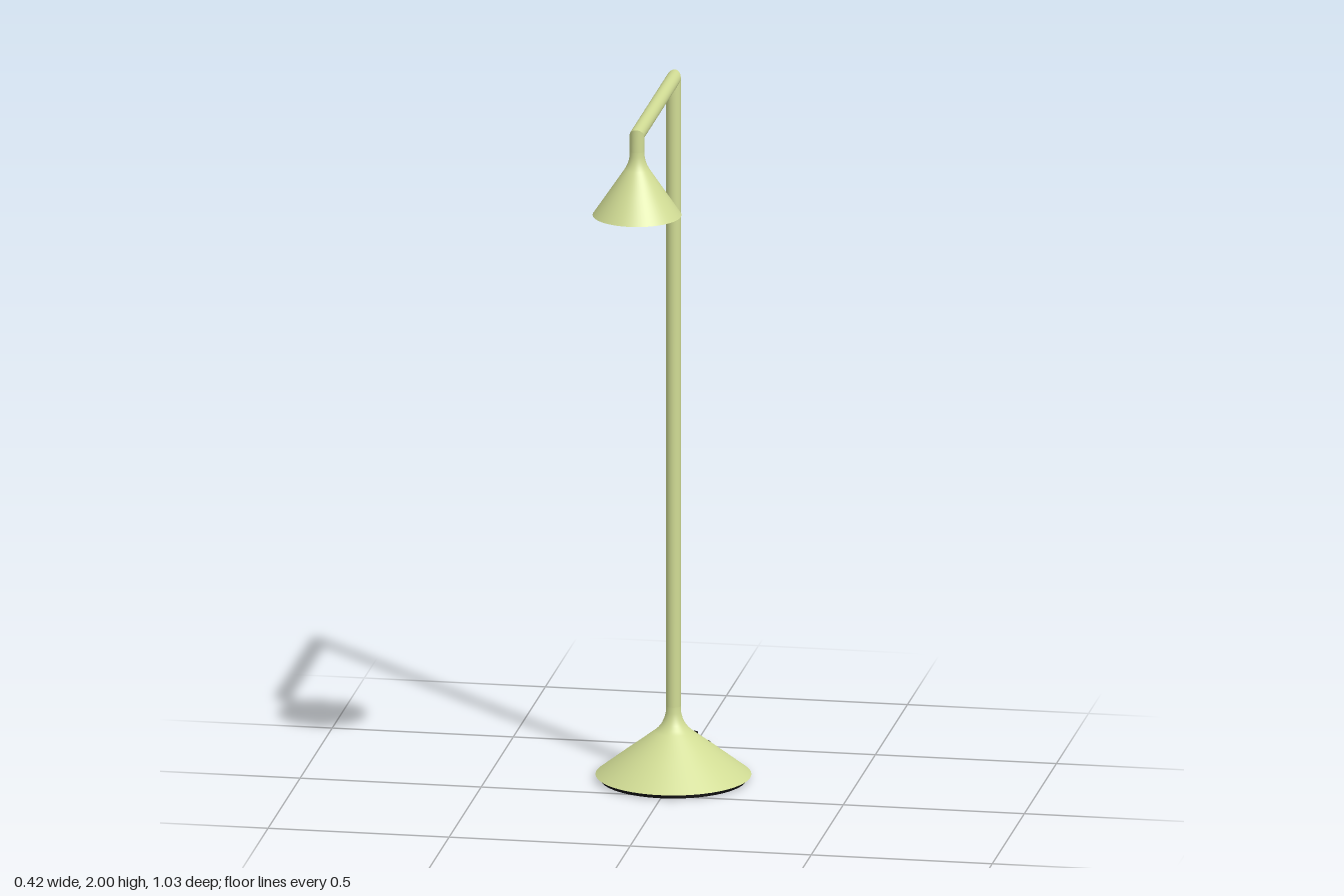
import * as THREE from 'three';

const green = new THREE.MeshStandardMaterial({ name: 'pale green paint', color: 0xd0db94 });
const black = new THREE.MeshStandardMaterial({ name: 'black rubber', color: 0x0c0c0c });
const white = new THREE.MeshStandardMaterial({ name: 'white lining', color: 0xf2f2f2 });

const POLE_Z = -0.175, SHADE_Z = 0.392, ARM_Y = 1.98, R = 0.02;

function add(parent, name, geometry, material, x = 0, y = 0, z = 0) {
  const mesh = new THREE.Mesh(geometry, material);
  mesh.name = name;
  mesh.position.set(x, y, z);
  parent.add(mesh);
  return mesh;
}

// Lathe from [radius, height] pairs; pairs running upward face outward
function lathe(points) {
  return new THREE.LatheGeometry(points.map(([r, y]) => new THREE.Vector2(r, y)), 64);
}

// Straight pipe between two ring centres [y, z]; sy and sz shear each end for mitres
function pipe(from, to, sides = 32) {
  const pos = [], index = [];
  for (const { y, z, sy, sz } of [from, to]) {
    for (let i = 0; i < sides; i++) {
      const a = (i / sides) * Math.PI * 2, s = R * Math.sin(a);
      pos.push(R * Math.cos(a), y + sy * s, z + sz * s);
    }
  }
  for (let i = 0; i < sides; i++) {
    const j = (i + 1) % sides;
    index.push(i, i + sides, j, j, i + sides, j + sides);
  }
  const g = new THREE.BufferGeometry();
  g.setAttribute('position', new THREE.Float32BufferAttribute(pos, 3));
  g.setIndex(index);
  g.computeVertexNormals();
  return g;
}

export function createModel() {
  const lamp = new THREE.Group();
  lamp.name = 'floorLamp';

  // Pole, arm and drop joined by mitred corners
  const foot = { y: 0.18, z: POLE_Z, sy: 0, sz: 1 };
  const backCorner = { y: ARM_Y, z: POLE_Z, sy: -1, sz: 1 };
  const frontCorner = { y: ARM_Y, z: SHADE_Z, sy: -1, sz: -1 };
  const dropEnd = { y: 1.9, z: SHADE_Z, sy: 0, sz: -1 };
  add(lamp, 'pole', pipe(foot, backCorner), green);
  add(lamp, 'arm', pipe(backCorner, frontCorner), green);
  add(lamp, 'shadeDrop', pipe(frontCorner, dropEnd), green);

  // Conical base with a flared collar
  add(lamp, 'base', lathe([
    [0.212, 0.012], [0.13, 0.075], [0.052, 0.134], [0.042, 0.143],
    [0.032, 0.156], [0.025, 0.171], [0.021, 0.187], [0.02, 0.205],
  ]), green, 0, 0, POLE_Z);
  const rim = add(lamp, 'baseRim', new THREE.RingGeometry(0.19, 0.212, 64), green, 0, 0.012, POLE_Z);
  rim.rotation.x = Math.PI / 2;
  add(lamp, 'basePad', new THREE.CylinderGeometry(0.2, 0.2, 0.012, 64), black, 0, 0.006, POLE_Z);
  const cap = add(lamp, 'basePadCap', new THREE.CircleGeometry(0.018, 24), white, 0, -0.0005, POLE_Z);
  cap.rotation.x = Math.PI / 2;

  // Conical shade with a white lining
  const shade = new THREE.Group();
  shade.name = 'shade';
  shade.position.z = SHADE_Z;
  lamp.add(shade);
  add(shade, 'shadeOuter', lathe([
    [0.121, 1.755], [0.075, 1.823], [0.034, 1.884], [0.028, 1.895],
    [0.023, 1.908], [0.0205, 1.922], [0.02, 1.935],
  ]), green);
  add(shade, 'shadeLining', lathe([[0, 1.885], [0.029, 1.885], [0.075, 1.818], [0.118, 1.755]]), white);
  const lip = add(shade, 'shadeLip', new THREE.RingGeometry(0.118, 0.121, 64), green, 0, 1.755, 0);
  lip.rotation.x = Math.PI / 2;

  // Foot switch and its cord behind the base
  const pedal = new THREE.Group();
  pedal.name = 'footSwitch';
  pedal.position.z = -0.458;
  lamp.add(pedal);
  add(pedal, 'switchBody', new THREE.CylinderGeometry(0.053, 0.053, 0.012, 40), black, 0, 0.014, 0);
  add(pedal, 'switchTop', new THREE.CylinderGeometry(0.024, 0.053, 0.014, 40), black, 0, 0.027, 0);
  add(pedal, 'switchButton', new THREE.CylinderGeometry(0.018, 0.018, 0.016, 32), black, 0, 0.042, 0);
  const cord = add(lamp, 'cord', new THREE.CylinderGeometry(0.004, 0.004, 0.165, 12), black, 0, 0.013, -0.4345);
  cord.rotation.x = Math.PI / 2;

  return lamp;
}
